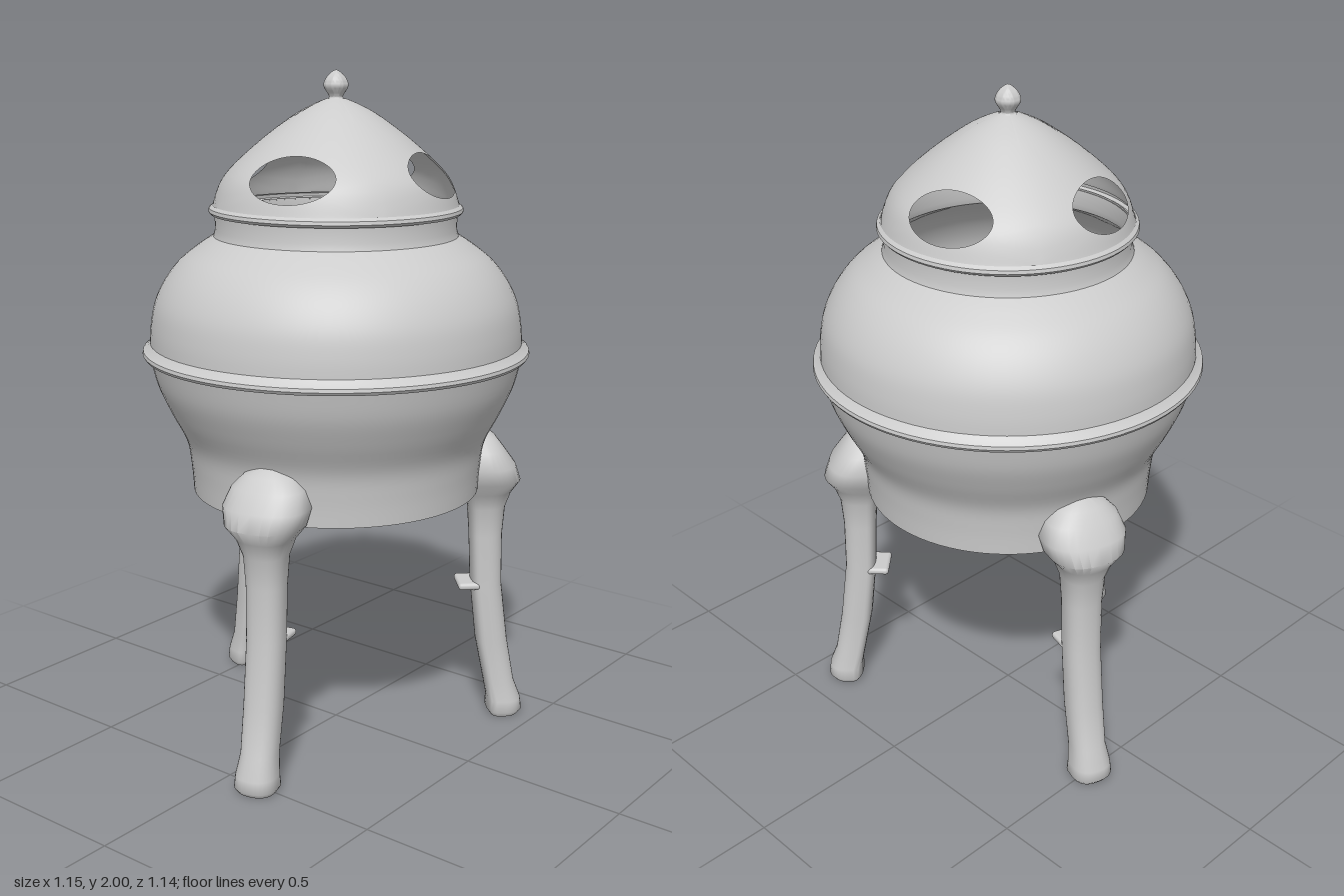
import * as THREE from 'three';
import { mergeVertices, toCreasedNormals } from 'three/addons/utils/BufferGeometryUtils.js';
import { RoundedBoxGeometry } from 'three/addons/geometries/RoundedBoxGeometry.js';

const material = new THREE.MeshStandardMaterial({ color: 0xcccccc, roughness: 0.8, side: THREE.DoubleSide });

function part(name, geometry) {
  const mesh = new THREE.Mesh(geometry, material);
  mesh.name = name;
  return mesh;
}

const toPoints = (list) => list.map(([x, y]) => new THREE.Vector2(x, y));
const smooth = (list, n) => new THREE.SplineCurve(toPoints(list)).getPoints(n);

function turned(name, points) {
  return part(name, toCreasedNormals(new THREE.LatheGeometry(points, 80), 0.6));
}

function indexed(positions, indices) {
  const g = new THREE.BufferGeometry();
  g.setAttribute('position', new THREE.Float32BufferAttribute(positions, 3));
  g.setIndex(indices);
  return g;
}

// Domed lid: each quarter is a grid stretched from an oval vent to the quarter's border
function lidGeometry() {
  const profile = new THREE.SplineCurve(toPoints([
    [0.36, 1.615], [0.325, 1.7], [0.233, 1.79], [0.127, 1.87], [0.063, 1.905], [0.025, 1.92]]));
  const around = 64, rows = 12, positions = [], indices = [];
  for (let q = 0; q < 4; q++) {
    const middle = THREE.MathUtils.degToRad(-14 + 90 * q), base = positions.length / 3;
    for (let j = 0; j <= rows; j++) {
      const s = j / rows;
      for (let k = 0; k < around; k++) {
        const a = (k / around) * Math.PI * 2, c = Math.cos(a), d = Math.sin(a);
        const m = Math.max(Math.abs(c), Math.abs(d));
        const u = THREE.MathUtils.lerp(0.42 * c, (Math.PI / 4) * (c / m), s);
        const t = THREE.MathUtils.lerp(0.25 + 0.17 * d, 0.5 + 0.5 * (d / m), s);
        const p = profile.getPointAt(THREE.MathUtils.clamp(t, 0, 1));
        positions.push(p.x * Math.cos(middle + u), p.y, p.x * Math.sin(middle + u));
        if (j < rows) {
          const i = base + j * around + k, n = base + j * around + ((k + 1) % around);
          indices.push(i, n, i + around, n, n + around, i + around);
        }
      }
    }
  }
  const g = mergeVertices(indexed(positions, indices), 1e-4);
  g.computeVertexNormals();
  return g;
}

// Leg lofted from D-shaped sections: [height, inner radius, outer radius, half width]
function legGeometry() {
  const sections = [
    [0, 0.49, 0.58, 0.055], [0.015, 0.48, 0.592, 0.064], [0.05, 0.482, 0.588, 0.061],
    [0.11, 0.47, 0.565, 0.053], [0.25, 0.442, 0.54, 0.055], [0.44, 0.422, 0.517, 0.055],
    [0.6, 0.415, 0.515, 0.056], [0.69, 0.408, 0.522, 0.062], [0.74, 0.395, 0.54, 0.08],
    [0.78, 0.385, 0.565, 0.112], [0.83, 0.38, 0.548, 0.125], [0.88, 0.38, 0.512, 0.108],
    [0.915, 0.38, 0.485, 0.075], [0.935, 0.38, 0.455, 0.035]];
  const sides = 28, positions = [], indices = [];
  sections.forEach(([y, inner, outer, half], j) => {
    const mid = (inner + outer) / 2, depth = (outer - inner) / 2;
    for (let k = 0; k < sides; k++) {
      const a = (k / sides) * Math.PI * 2, c = Math.cos(a), s = Math.sin(a);
      const x = c < 0 ? -Math.pow(-c, 0.4) : c;
      positions.push(mid + depth * x, y, half * Math.sign(s) * Math.pow(Math.abs(s), 0.8));
      if (j < sections.length - 1) {
        const i = j * sides + k, n = j * sides + ((k + 1) % sides);
        indices.push(i, i + sides, n, n, i + sides, n + sides);
      }
    }
  });
  // End caps
  const last = (sections.length - 1) * sides, low = positions.length / 3;
  positions.push(0.535, 0, 0, 0.415, 0.94, 0);
  for (let k = 0; k < sides; k++) {
    const n = (k + 1) % sides;
    indices.push(low, k, n, low + 1, last + n, last + k);
  }
  return toCreasedNormals(indexed(positions, indices), 0.9);
}

export function createModel() {
  const model = new THREE.Group();
  model.name = 'tripodBurner';

  // Lower bowl with flat underside
  model.add(turned('lowerBowl', [new THREE.Vector2(0, 0.765), ...smooth([
    [0.43, 0.77], [0.436, 0.85], [0.45, 0.93], [0.495, 1.02], [0.53, 1.1], [0.55, 1.18]], 24)]));

  // Flange where the two halves meet
  model.add(turned('flange', toPoints([
    [0.545, 1.178], [0.566, 1.181], [0.572, 1.19], [0.57, 1.2], [0.558, 1.21], [0.546, 1.225]])));

  // Upper bowl and neck
  model.add(turned('upperBowl', [...smooth([
    [0.55, 1.205], [0.546, 1.27], [0.532, 1.34], [0.5, 1.405], [0.455, 1.46], [0.4, 1.503], [0.358, 1.53]], 28),
    ...toPoints([[0.352, 1.55], [0.354, 1.6]])]));

  // Inner floor seen through the vents
  const floor = part('innerFloor', new THREE.CircleGeometry(0.54, 80));
  floor.rotation.x = -Math.PI / 2;
  floor.position.y = 1.3;
  model.add(floor);

  // Lid, its rim and its finial
  model.add(part('lid', lidGeometry()));
  model.add(turned('lidRim', toPoints([
    [0.35, 1.596], [0.364, 1.594], [0.371, 1.602], [0.369, 1.612], [0.359, 1.62]])));
  model.add(turned('finial', smooth([
    [0.045, 1.908], [0.022, 1.92], [0.022, 1.93], [0.036, 1.955], [0.028, 1.978], [0.012, 1.994], [0, 2]], 24)));

  // Three legs, each with a small ledge on its inner face
  const legShape = legGeometry();
  const ledgeShape = new RoundedBoxGeometry(0.07, 0.022, 0.108, 3, 0.01);
  for (const degrees of [47, 167, 287]) {
    const leg = new THREE.Group();
    leg.name = 'leg';
    const ledge = part('legLedge', ledgeShape);
    ledge.position.set(0.412, 0.438, 0);
    leg.add(part('legShaft', legShape), ledge);
    leg.rotation.y = -THREE.MathUtils.degToRad(degrees);
    model.add(leg);
  }
  return model;
}
